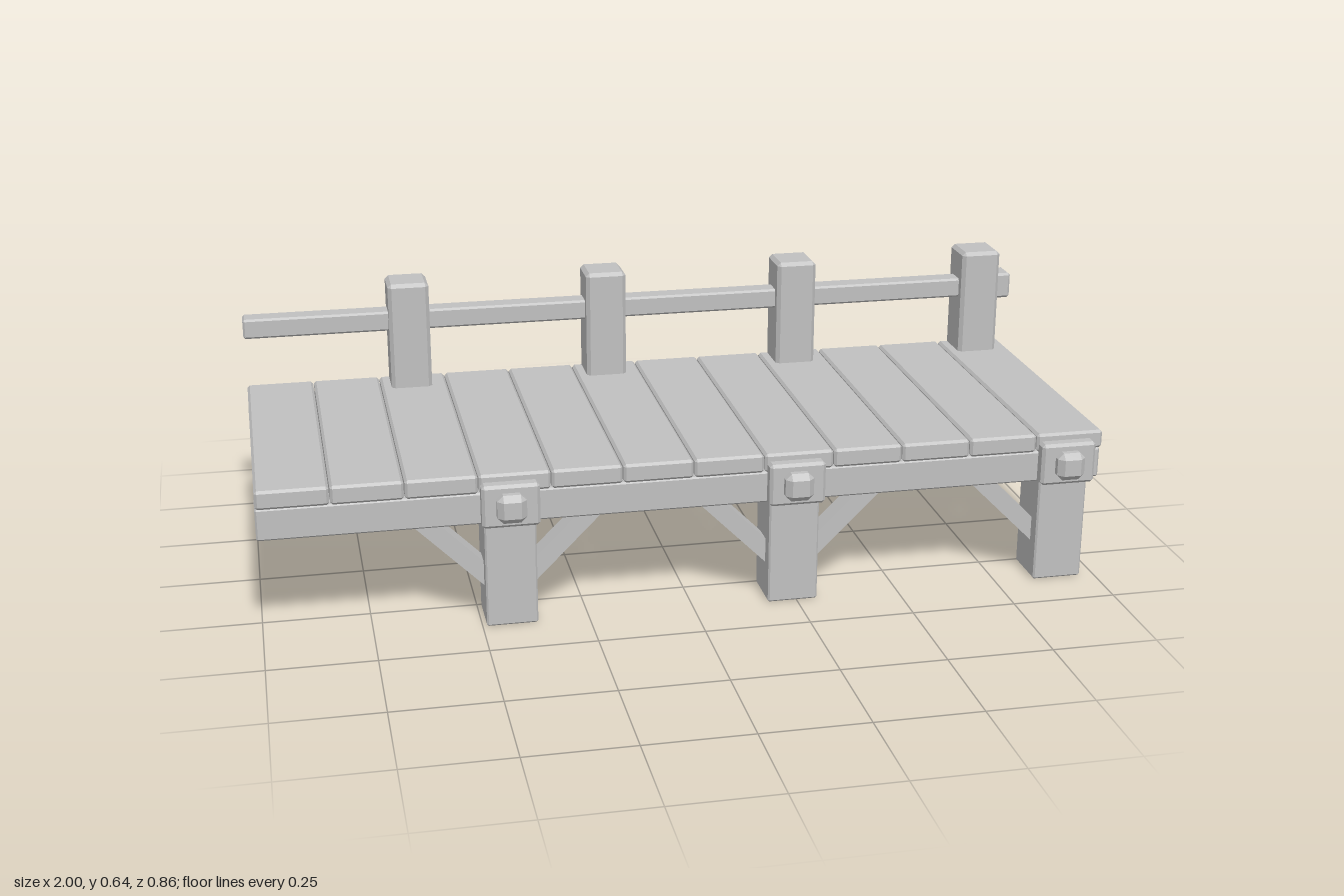
import * as THREE from 'three';
import { ConvexGeometry } from 'three/addons/geometries/ConvexGeometry.js';

const wood = new THREE.MeshStandardMaterial({ color: 0xc0c0c0 });
wood.name = 'plainWood';

// Box with chamfered edges, given by its min and max corners
function chamferBox(min, max, c) {
  const points = [];
  const pick = (axis, high, inset) => (high ? max[axis] - inset : min[axis] + inset);
  for (let corner = 0; corner < 8; corner++) {
    for (let full = 0; full < 3; full++) {
      const p = [0, 1, 2].map((a) => pick(a, (corner >> a) & 1, a === full ? 0 : c));
      points.push(new THREE.Vector3(...p));
    }
  }
  return new ConvexGeometry(points);
}

export function createModel() {
  const model = new THREE.Group();
  model.name = 'woodenWalkway';

  const add = (name, geometry) => {
    const mesh = new THREE.Mesh(geometry, wood);
    mesh.name = name;
    model.add(mesh);
    return mesh;
  };
  const box = (name, x0, x1, y0, y1, z0, z1, c = 0.004) =>
    add(name, chamferBox([x0, y0, z0], [x1, y1, z1], c));

  // Deck planks
  const pitch = 2 / 12;
  for (let i = 0; i < 12; i++) {
    const x = -1 + i * pitch;
    box('deckPlank', x + 0.001, x + pitch - 0.001, 0.33, 0.375, -0.373, 0.373, 0.006);
  }

  // Long beams under both edges and the closing beam at the end
  for (const s of [-1, 1]) {
    box('longBeam', -1, 0.985, 0.255, 0.331, s * 0.32 - 0.05, s * 0.32 + 0.05);
  }
  box('endBeam', 0.89, 0.995, 0.255, 0.331, -0.371, 0.371, 0.005);

  // Diagonal brace with upright and level mitred ends, rising along +x
  const braceShape = new THREE.Shape([
    new THREE.Vector2(-0.01, 0.08), new THREE.Vector2(0.175, 0.265),
    new THREE.Vector2(0.115, 0.265), new THREE.Vector2(-0.01, 0.14),
  ]);
  const braceGeometry = new THREE.ExtrudeGeometry(braceShape, { depth: 0.05, bevelEnabled: false });
  braceGeometry.translate(0, 0, -0.025);
  const brace = (x, z, turn) => {
    const mesh = add('brace', braceGeometry);
    mesh.position.set(x, 0, z);
    mesh.rotation.y = turn;
  };

  // Legs with their cross beams, braces, plates and bolts
  const legXs = [-0.43, 0.24, 0.905];
  legXs.forEach((x, i) => {
    const last = i === legXs.length - 1;
    if (!last) box('crossBeam', x - 0.055, x + 0.055, 0.256, 0.33, -0.3, 0.3);
    for (const s of [-1, 1]) {
      const z = s * 0.315;
      box('leg', x - 0.06, x + 0.06, 0, 0.325, z - 0.06, z + 0.06);
      brace(x - 0.06, z, Math.PI);
      if (!last) brace(x + 0.06, z, 0);
      const plateZ = s * 0.385;
      box('jointPlate', x - 0.067, x + 0.067, 0.255, 0.358, plateZ - 0.018, plateZ + 0.018, 0.007);
      const boltZ = s * 0.41;
      box('bolt', x - 0.034, x + 0.034, 0.272, 0.34, boltZ - 0.021, boltZ + 0.021, 0.014);
    }
    brace(x, 0.255, Math.PI / 2);
  });

  // Railing posts along the back edge
  for (const x of [-0.59, -0.09, 0.41, 0.91]) {
    box('railPost', x - 0.051, x + 0.051, 0.365, 0.645, -0.375, -0.27, 0.009);
  }

  // Handrail and the peg end beyond the last post
  box('handrail', -1, 0.97, 0.519, 0.569, -0.35, -0.296, 0.005);
  box('railPeg', 0.95, 1, 0.511, 0.578, -0.356, -0.29, 0.006);

  return model;
}
